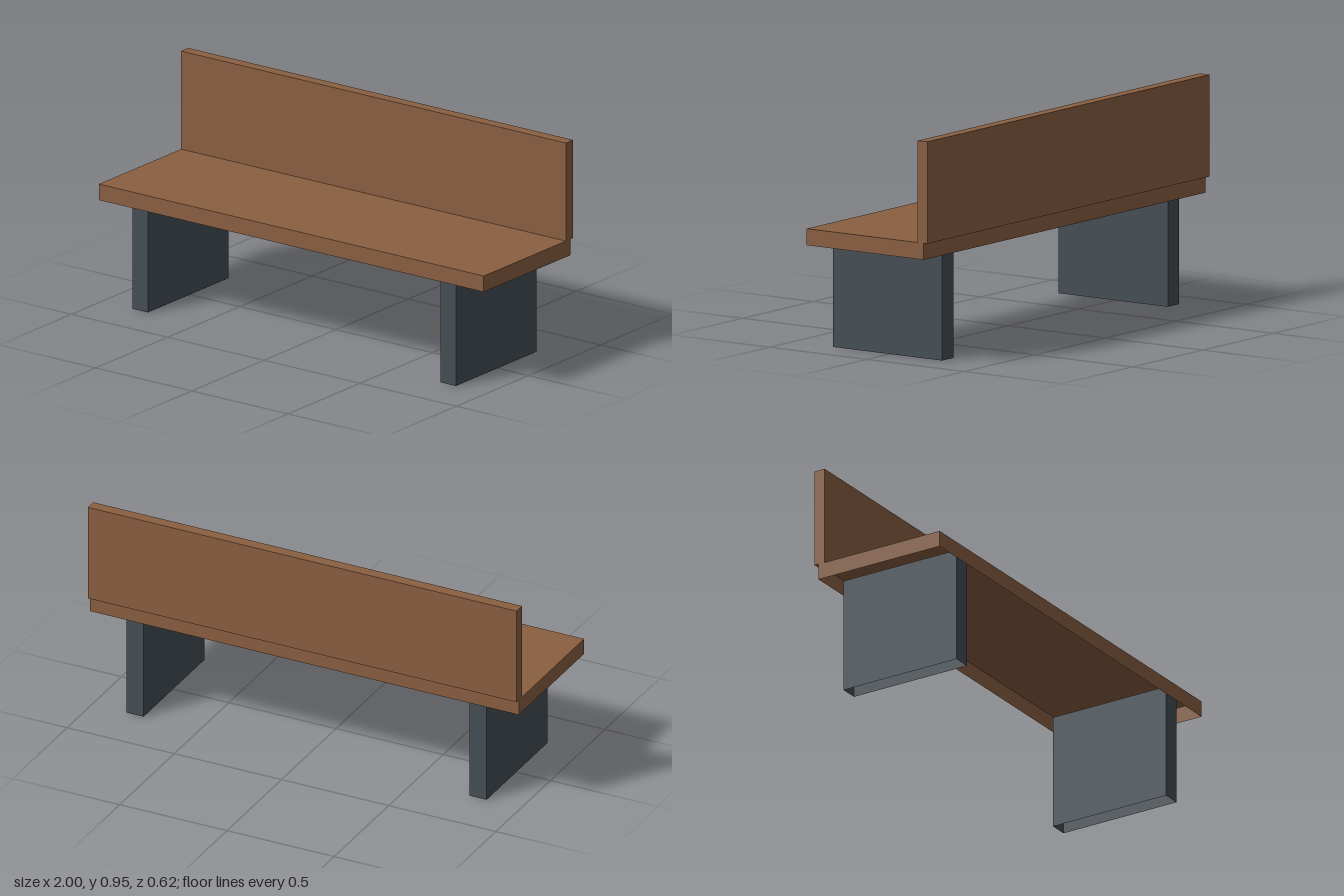
import * as THREE from 'three';

const wood = new THREE.MeshStandardMaterial({ color: 0x8a5f41, side: THREE.DoubleSide });
wood.name = 'brown wood';
const metal = new THREE.MeshStandardMaterial({ color: 0x454e56, side: THREE.DoubleSide });
metal.name = 'slate grey';

// Box shell standing on y, with no bottom face
function shell(name, material, w, h, d, x, y, z) {
  const geometry = new THREE.BoxGeometry(w, h, d);
  const index = Array.from(geometry.index.array);
  index.splice(18, 6); // the downward face
  geometry.setIndex(index);
  geometry.clearGroups();
  geometry.translate(0, h / 2, 0);
  const mesh = new THREE.Mesh(geometry, material);
  mesh.name = name;
  mesh.position.set(x, y, z);
  return mesh;
}

export function createModel() {
  const bench = new THREE.Group();
  bench.name = 'bench';

  // Seat slab, open underneath
  bench.add(shell('seat', wood, 2, 0.07, 0.6, 0, 0.45, 0.01));

  // Upright back, overhanging the rear edge of the seat
  bench.add(shell('backrest', wood, 2, 0.43, 0.05, 0, 0.52, -0.285));

  // Slab legs, reaching up inside the seat
  for (const side of [-1, 1]) {
    const name = side > 0 ? 'leftLeg' : 'rightLeg';
    bench.add(shell(name, metal, 0.08, 0.5, 0.56, side * 0.8, 0, 0.01));
  }
  return bench;
}
